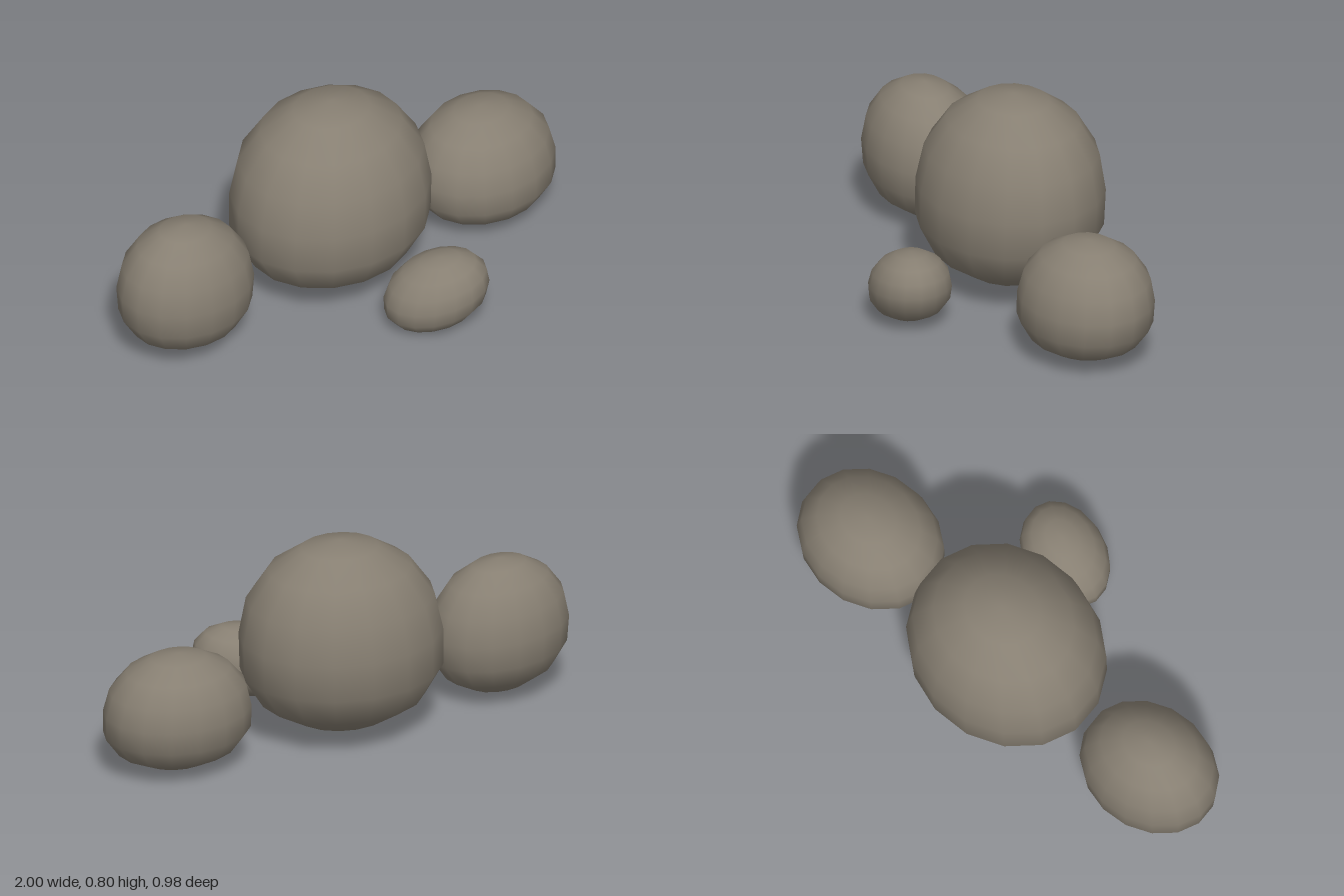
import * as THREE from 'three';
import { mergeVertices } from 'three/addons/utils/BufferGeometryUtils.js';

const stone = new THREE.MeshStandardMaterial({ color: 0x877f72 });
stone.name = 'warm grey stone';

// Boulder: a coarse ball with a fuller lower half and a slight lean.
// tiltXY raises the +x side, tiltXZ pushes the +x side along z,
// leanX / leanZ move the top sideways.
function boulder({ name, center, radii, full = 0, tiltXY = 0, tiltXZ = 0, leanX = 0, leanZ = 0 }) {
  let g = new THREE.SphereGeometry(1, 16, 8);
  g.deleteAttribute('uv');
  g.deleteAttribute('normal');
  g = mergeVertices(g, 1e-4);
  const p = g.attributes.position;
  for (let i = 0; i < p.count; i++) {
    const x = p.getX(i), y = p.getY(i), z = p.getZ(i);
    const f = 1 + full * Math.max(0, -y);
    p.setXYZ(i,
      x * f * radii[0] + leanX * y,
      y * radii[1] + tiltXY * x,
      z * f * radii[2] + leanZ * y + tiltXZ * x);
  }
  g.computeVertexNormals();
  const mesh = new THREE.Mesh(g, stone);
  mesh.name = name;
  mesh.position.set(...center);
  return mesh;
}

export function createModel() {
  const group = new THREE.Group();
  group.name = 'boulderCluster';
  const rocks = [
    { name: 'largeBoulder', center: [-0.01, 0.42, -0.133], radii: [0.405, 0.385, 0.358], full: 0.2, leanX: 0.01, leanZ: -0.01, tiltXZ: -0.015 },
    { name: 'rightBoulder', center: [-0.712, 0.29, 0.012], radii: [0.286, 0.268, 0.233], full: 0.13, tiltXY: -0.015, tiltXZ: -0.025 },
    { name: 'leftBoulder', center: [0.70, 0.247, -0.235], radii: [0.298, 0.233, 0.255], full: 0.2, leanZ: -0.012, tiltXZ: -0.02 },
    { name: 'smallBoulder', center: [0.21, 0.149, 0.33], radii: [0.207, 0.145, 0.162], full: 0.12, tiltXY: 0.025, leanX: 0.015, tiltXZ: 0.012 },
  ];
  for (const rock of rocks) group.add(boulder(rock));
  return group;
}
